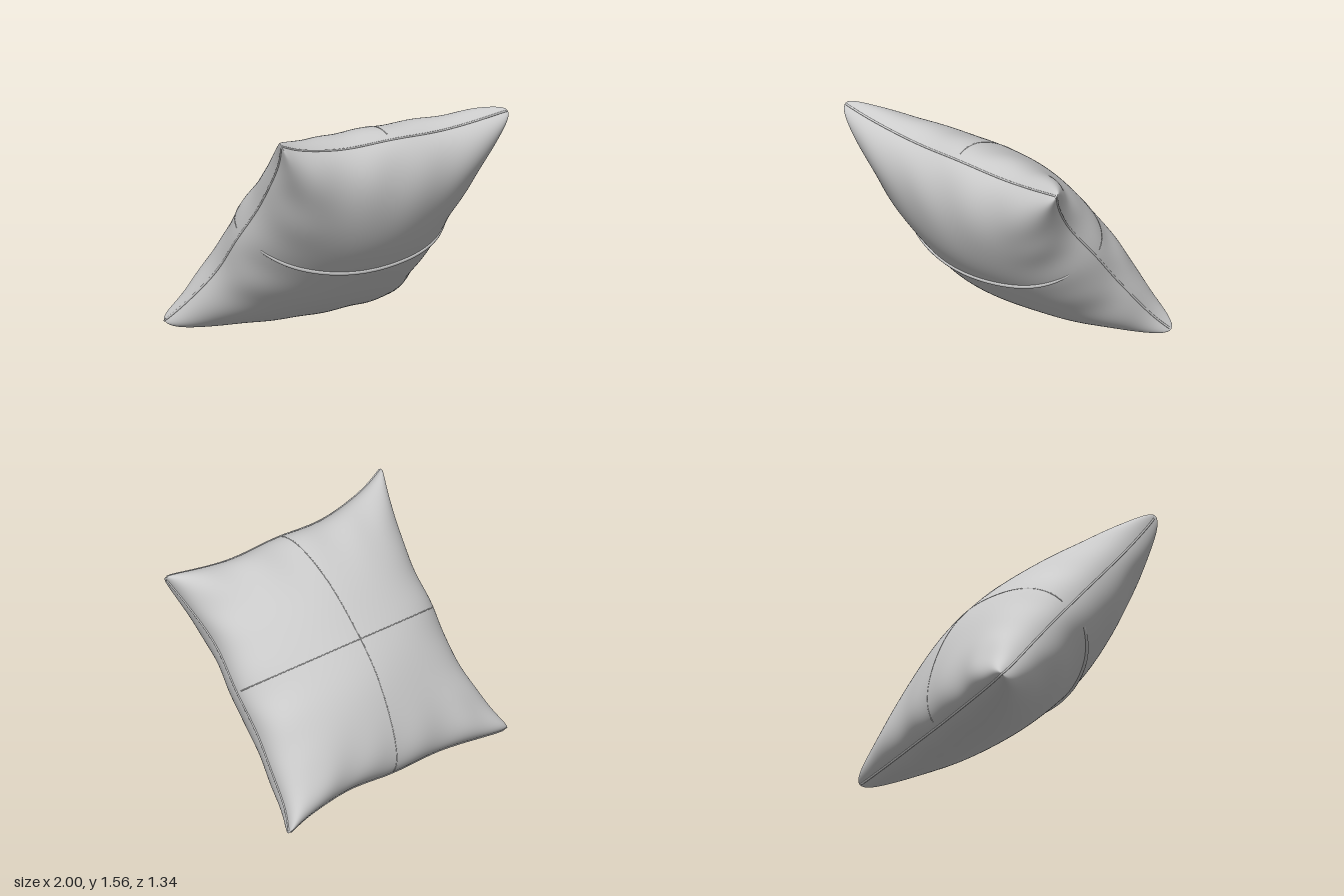
import * as THREE from 'three';

// Tilted frame of the cushion: "up" runs along its height, "out" through its front face
const centre = new THREE.Vector3(0, 0.75, 0);
const up = new THREE.Vector3(0, 0.761, 0.648);
const out = new THREE.Vector3(0, -0.648, 0.761);

// How far each corner is pulled out beyond the slack edges: [sideways, along height, sharpness]
const pull = {
  '1,1': [0.2, 0.085, 2.8], '-1,1': [0.12, 0.18, 4],
  '-1,-1': [0.22, 0.06, 2.5], '1,-1': [0.11, 0.13, 6],
};

const plump = (a, power = 0.46) => Math.pow(Math.max(0, 1 - a * a), power);

// Gathered folds, strongest just inside the seams
function folds(s, t, side) {
  const gather = (a) => 2.6 * Math.pow(Math.abs(a), 6) * plump(a);
  const along = Math.cos(14 * s + side + 2 * t) + 0.6 * Math.sin(9 * s * s - 5 * s - t);
  const across = Math.cos(10 * t + 2 * side - s) + 0.5 * Math.sin(17 * t);
  const soft = Math.sin(4 * s + 3 * t + side) * Math.sin(5 * t - 2 * s) * plump(s) * plump(t);
  return 0.011 * gather(t) * plump(s) * along + 0.011 * gather(s) * plump(t) * across + 0.006 * soft;
}

// Point on the cover; s and t run -1..1, side is 1 (front), -1 (back) or 0 (seam)
function cover(s, t, side, lift = 0) {
  const [du, dv, sharp] = pull[`${s < 0 ? -1 : 1},${t < 0 ? -1 : 1}`];
  const as = Math.abs(s), at = Math.abs(t);
  const blunt = 0.025 * (as * at) ** 20;
  const u = 0.81 * s + Math.sign(s) * (du * as * at ** sharp - blunt)
    + 0.008 * Math.sin(9 * t + s) * as ** 8 * (1 - t * t);
  const v = 0.867 * t + Math.sign(t) * (dv * at * as ** 3.5 - blunt)
    + 0.008 * Math.sin(8 * s + t) * at ** 8 * (1 - s * s);
  // Line where the two panels meet, sagging back a little at the sides and top
  const seam = -0.035 * as ** 4 * (1 - t * t) - (t > 0 ? 0.045 : 0.02) * at ** 4 - 0.02 * as ** 3 * at ** 3;
  const round = plump(s) * plump(t);
  const depth = side > 0 ? 0.43 + 0.02 * t : 0.43 + 0.05 * Math.min(0, t) * at * (1 - s);
  const corner = 0.09 * Math.sqrt(round) * (s * t) ** 2;
  const n = seam + side * (depth * round + corner + folds(s, t, side) + lift);
  return new THREE.Vector3(u, 0, 0).add(centre).addScaledVector(up, v).addScaledVector(out, n);
}

// One cloth panel, with rows crowded towards the seams where it curves most
function panel(side, material) {
  const N = 110, positions = [], index = [];
  const ease = (i) => Math.sin((i / N - 0.5) * Math.PI);
  for (let j = 0; j <= N; j++) {
    for (let i = 0; i <= N; i++) positions.push(...cover(ease(i), ease(j), side).toArray());
  }
  for (let j = 0; j < N; j++) {
    for (let i = 0; i < N; i++) {
      const a = j * (N + 1) + i, b = a + 1, c = a + N + 1, d = c + 1;
      if (side > 0) index.push(a, b, d, a, d, c);
      else index.push(a, d, b, a, c, d);
    }
  }
  const geometry = new THREE.BufferGeometry();
  geometry.setAttribute('position', new THREE.Float32BufferAttribute(positions, 3));
  geometry.setIndex(index);
  geometry.computeVertexNormals();
  return new THREE.Mesh(geometry, material);
}

// Cord following a path on the cover
function cord(path, radius, closed, material) {
  const points = [];
  const count = 80;
  for (let i = 0; i < count + (closed ? 0 : 1); i++) points.push(path(i / count));
  const curve = new THREE.CatmullRomCurve3(points, closed);
  return new THREE.Mesh(new THREE.TubeGeometry(curve, 200, radius, 8, closed), material);
}

export function createModel() {
  const group = new THREE.Group();
  group.name = 'cushion';
  const material = new THREE.MeshStandardMaterial({ color: 0xcccccc, side: THREE.DoubleSide });
  const add = (name, mesh) => {
    mesh.name = name;
    group.add(mesh);
  };

  add('frontPanel', panel(1, material));
  add('backPanel', panel(-1, material));

  // Fine piped seam around the four edges
  const edge = (f) => {
    const k = Math.floor(f * 4) % 4, a = Math.sin((f * 4 - Math.floor(f * 4) - 0.5) * Math.PI);
    return [[a, -1], [1, a], [-a, 1], [-1, -a]][k];
  };
  add('edgeSeam', cord((f) => cover(...edge(f), 0), 0.007, true, material));

  // Raised fold across the front, sinking into the cloth at both ends
  add('frontFold', cord((f) => {
    const s = -0.92 + 1.82 * f;
    return cover(s, 0.05 + 0.02 * s * s, 1, 0.001 - 0.018 * Math.abs(2 * f - 1) ** 8);
  }, 0.015, false, material));

  // Fine stitched lines crossing on the back
  const ease = (f) => 0.995 * Math.sin((f - 0.5) * Math.PI);
  add('backCrossSeam', cord((f) => cover(ease(f), 0.03, -1, -0.002), 0.004, false, material));
  add('backUprightSeam', cord((f) => {
    const t = ease(f);
    return cover(0.04 * t, t, -1, -0.002);
  }, 0.004, false, material));

  // Rest the cushion on the ground, centred
  const box = new THREE.Box3().setFromObject(group);
  const mid = box.getCenter(new THREE.Vector3());
  group.children.forEach((m) => m.geometry.translate(-mid.x, -box.min.y, -mid.z));
  return group;
}
